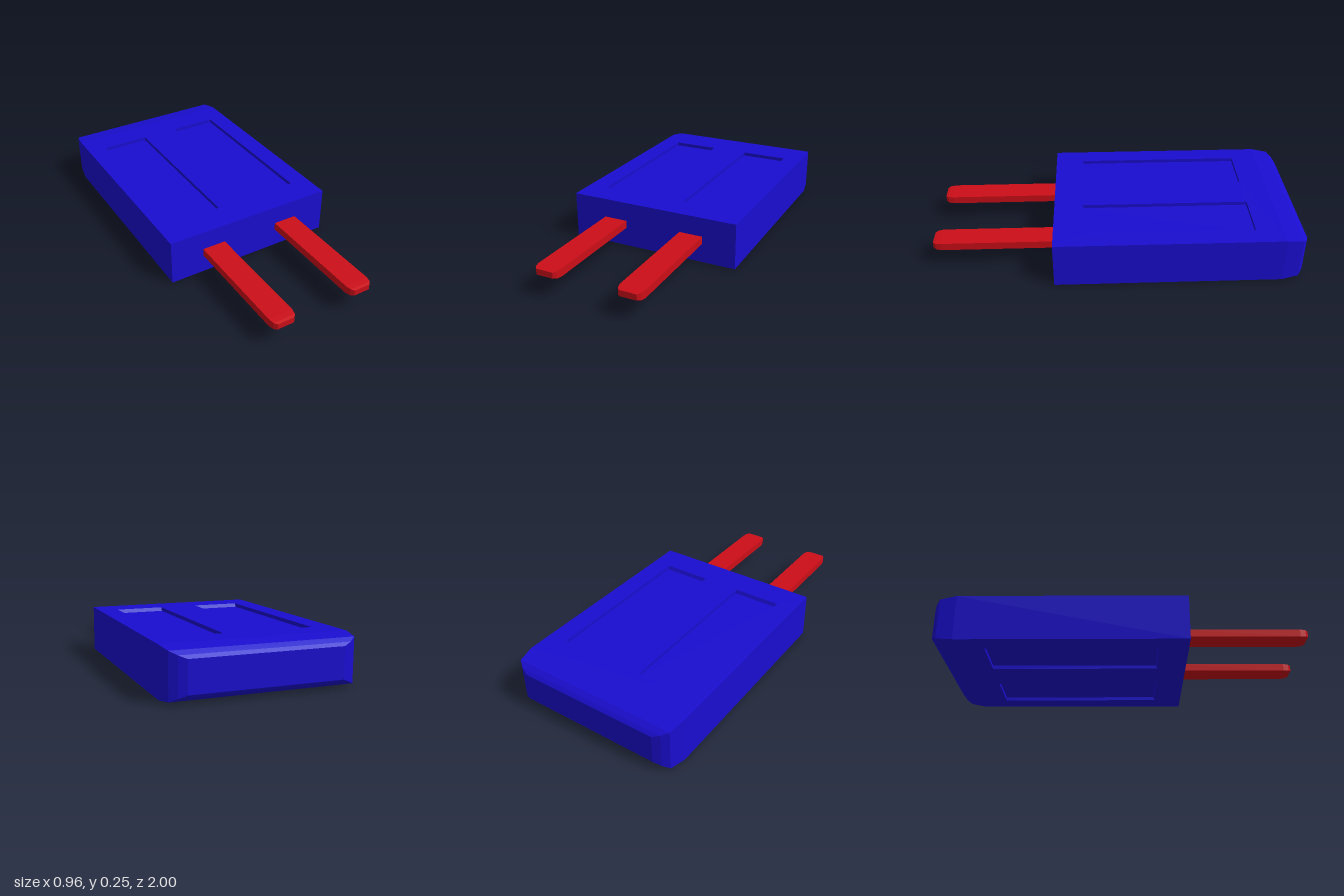
import * as THREE from 'three';

const H = 0.253, MID = H / 2, W = 0.48, FRONT = 0.345, BEND = -0.87;

// Skins four-cornered rings; skip(span, edge) leaves faces open
function loft(rings, { start = true, end = true, skip = () => false } = {}) {
  const pos = [];
  const quad = (a, b, c, d) => [a, b, c, a, c, d].forEach(p => pos.push(...p));
  for (let s = 0; s < rings.length - 1; s++) {
    const A = rings[s], B = rings[s + 1];
    for (let i = 0; i < 4; i++) {
      const j = (i + 1) % 4;
      if (!skip(s, i)) quad(A[i], A[j], B[j], B[i]);
    }
  }
  if (start) quad(...[...rings[0]].reverse());
  if (end) quad(...rings[rings.length - 1]);
  const g = new THREE.BufferGeometry();
  g.setAttribute('position', new THREE.Float32BufferAttribute(pos, 3));
  g.computeVertexNormals();
  return g;
}

// Upright rectangle at depth z
const section = (z, hx, hy) =>
  [[-hx, -hy, z], [hx, -hy, z], [hx, hy, z], [-hx, hy, z]];

// Flat rectangle at height y, listed anticlockwise from above
const flatRing = (y, x0, x1, z0, z1) =>
  [[x0, y, z1], [x1, y, z1], [x1, y, z0], [x0, y, z0]];

function add(parent, name, geometry, material) {
  const mesh = new THREE.Mesh(geometry, material);
  mesh.name = name;
  parent.add(mesh);
  return mesh;
}

// Broad face with two shallow pockets sunk into it
function pocketedFace(name, material) {
  const face = new THREE.Group();
  face.name = name;
  const rect = (T, x0, x1, z0, z1) => new T(
    [[x0, -z1], [x1, -z1], [x1, -z0], [x0, -z0]].map(p => new THREE.Vector2(...p)));
  const shape = rect(THREE.Shape, -W, W, BEND, FRONT);
  for (const [x0, x1] of [[-0.373, -0.107], [0.107, 0.373]]) {
    const z0 = -0.725, z1 = 0.19;
    shape.holes.push(rect(THREE.Path, x0, x1, z0, z1));
    const rings = [flatRing(0, x0, x1, z0, z1), flatRing(-0.02, x0, x1, z0, z1 - 0.01)];
    add(face, 'pocket', loft(rings, { start: false }), material);
  }
  add(face, 'facePlate', new THREE.ShapeGeometry(shape).rotateX(-Math.PI / 2), material);
  return face;
}

export function createModel() {
  const model = new THREE.Group();
  model.name = 'bladePlug';
  const blue = new THREE.MeshStandardMaterial({ color: 0x1a0dd0, flatShading: true });
  const red = new THREE.MeshStandardMaterial({ color: 0xcc0e18, flatShading: true });

  // Housing sides, front wall and bevelled back end
  const housing = [
    section(-1, 0.39, 0.08),
    section(-0.985, 0.43, 0.096),
    section(-0.96, 0.465, 0.114),
    section(BEND, W, MID),
    section(FRONT, W, MID),
  ];
  const shell = loft(housing, { skip: (span, edge) => span === 3 && edge % 2 === 0 });
  add(model, 'housing', shell, blue).position.y = MID;

  // Pocketed top and bottom
  const top = pocketedFace('topFace', blue);
  top.position.y = H;
  const bottom = pocketedFace('bottomFace', blue);
  bottom.rotation.z = Math.PI;
  model.add(top, bottom);

  // Two blades with chamfered tips
  for (const side of [-1, 1]) {
    const blade = loft([
      section(0.3, 0.066, 0.021),
      section(0.955, 0.066, 0.021),
      section(0.985, 0.06, 0.019),
      section(1, 0.046, 0.016),
    ]);
    add(model, side > 0 ? 'leftBlade' : 'rightBlade', blade, red)
      .position.set(side * 0.227, MID, 0);
  }
  return model;
}
